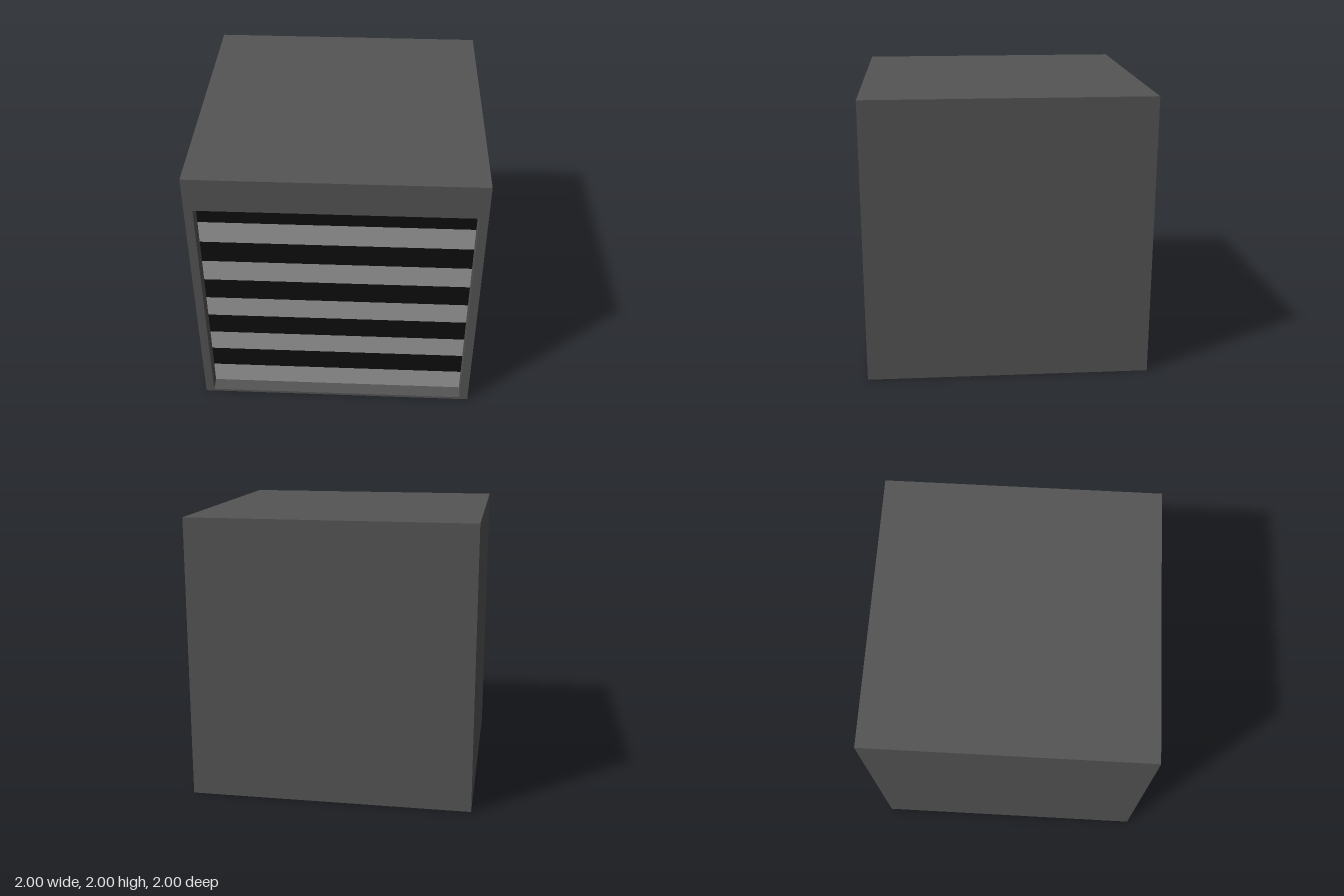
import * as THREE from 'three';

export function createModel() {
  const group = new THREE.Group();
  const mat = (name, color) => {
    const m = new THREE.MeshStandardMaterial({ color });
    m.name = name;
    return m;
  };
  const casing = mat('casing grey', 0x555555);
  const light = mat('slat light grey', 0x9d9d9d);
  const dark = mat('slat black', 0x0e0e0e);

  const add = (name, geometry, material, x, y, z) => {
    const mesh = new THREE.Mesh(geometry, material);
    mesh.name = name;
    mesh.position.set(x, y, z);
    group.add(mesh);
  };

  // Opening of the front and the depth of its recess
  const halfW = 0.94, bottom = 0.02, top = 1.75;
  const recess = 0.1, plate = 0.008;
  const bodyFront = 1 - recess - plate;

  // Solid body behind the opening
  add('body', new THREE.BoxGeometry(2, 2, 1 + bodyFront), casing, 0, 1, (bodyFront - 1) / 2);

  // Front frame: a square with the opening cut out
  const outline = new THREE.Shape();
  outline.moveTo(-1, 0).lineTo(1, 0).lineTo(1, 2).lineTo(-1, 2).closePath();
  const hole = new THREE.Path();
  hole.moveTo(-halfW, bottom).lineTo(-halfW, top).lineTo(halfW, top).lineTo(halfW, bottom).closePath();
  outline.holes.push(hole);
  add('frontFrame', new THREE.ExtrudeGeometry(outline, { depth: 1 - bodyFront, bevelEnabled: false }),
    casing, 0, 0, bodyFront);

  // Flat slats alternating light and dark, from the bottom up
  const count = 10, slatH = (top - bottom) / count;
  const slat = new THREE.BoxGeometry(halfW * 2, slatH, plate);
  for (let i = 0; i < count; i++) {
    add(i % 2 ? 'darkSlat' : 'lightSlat', slat, i % 2 ? dark : light,
      0, bottom + slatH * (i + 0.5), bodyFront + plate / 2);
  }
  return group;
}
